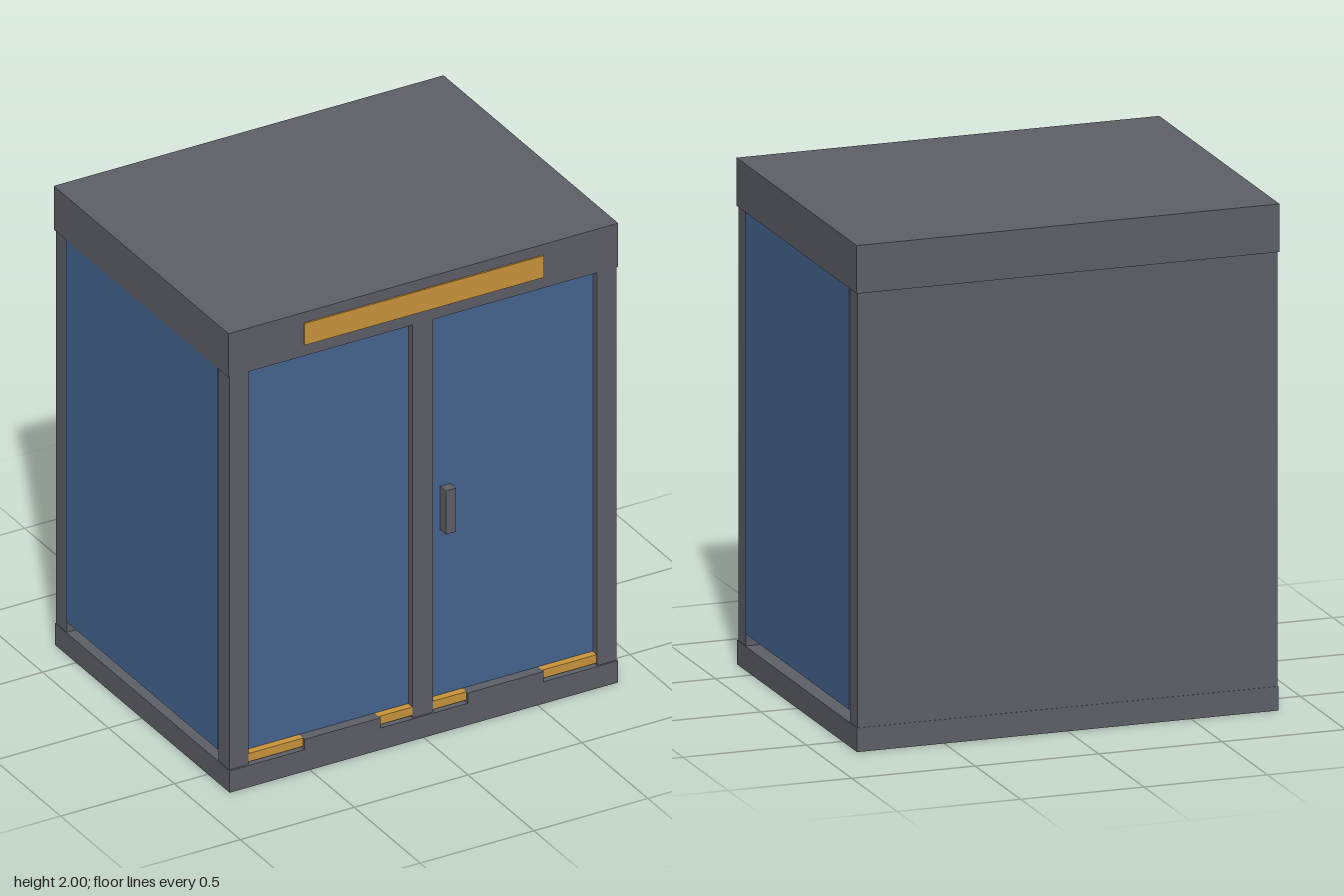
import * as THREE from 'three';

export function createModel() {
  const model = new THREE.Group();
  model.name = 'cabin';
  const material = (name, color) => {
    const m = new THREE.MeshStandardMaterial({ color });
    m.name = name;
    return m;
  };
  const grey = material('frame grey', 0x5d5f67);
  const blue = material('panel blue', 0x44658f);
  const amber = material('amber', 0xc9943a);
  const pale = material('pale grey', 0xc4c8c0);

  // Box given by its limits on each axis
  function box(name, mat, [x0, x1], [y0, y1], [z0, z1]) {
    const mesh = new THREE.Mesh(new THREE.BoxGeometry(x1 - x0, y1 - y0, z1 - z0), mat);
    mesh.position.set((x0 + x1) / 2, (y0 + y1) / 2, (z0 + z1) / 2);
    mesh.name = name;
    model.add(mesh);
    return mesh;
  }
  const mirrored = (side, a, b) => side > 0 ? [a, b] : [-b, -a];

  const baseTop = 0.095, roofBottom = 1.81, panelBottom = 0.145;
  const wallX = 0.85, baseX = 0.853;

  // Hollow plinth, open below: floor and thin skirt
  box('floor', grey, [-baseX, baseX], [baseTop - 0.004, baseTop], [-0.66, 0.665]);
  box('frontSkirt', grey, [-baseX, baseX], [0, baseTop], [0.661, 0.665]);
  box('backSkirt', grey, [-baseX, baseX], [0, baseTop], [-0.66, -0.656]);

  // Roof, back wall, centre post and sign plate
  box('roof', grey, [-0.856, 0.856], [roofBottom, 2], [-0.664, 0.661]);
  box('backWall', grey, [-wallX, wallX], [baseTop, roofBottom], [-0.658, -0.63]);
  box('centrePost', grey, [-0.045, 0.045], [baseTop, roofBottom], [0.575, 0.657]);
  box('signPlate', amber, [-0.525, 0.525], [1.86, 1.955], [0.66, 0.668]);

  for (const side of [-1, 1]) {
    const x = (a, b) => mirrored(side, a, b);
    box('sideSkirt', grey, x(baseX - 0.004, baseX), [0, baseTop], [-0.66, 0.665]);
    box('frontPost', grey, x(0.765, wallX), [baseTop, roofBottom], [0.575, 0.657]);
    box('backPost', grey, x(0.765, wallX), [baseTop, roofBottom], [-0.657, -0.575]);
    box('sidePanel', blue, x(0.835, 0.854), [panelBottom, roofBottom], [-0.575, 0.575]);
    box('frontPanel', blue, x(0.045, 0.765), [panelBottom - 0.003, roofBottom], [0.607, 0.625]);

    // Amber threshold strips with a raised step between them
    box('outerThreshold', amber, x(0.525, 0.765), [0.105, 0.141], [0.62, 0.655]);
    box('innerThreshold', amber, x(0.045, 0.192), [0.105, 0.141], [0.62, 0.655]);
    box('thresholdStep', grey, x(0.192, 0.525), [baseTop, 0.141], [0.62, 0.667]);
  }

  // Door handle
  box('handle', grey, [0.095, 0.14], [0.86, 1.05], [0.622, 0.668]);

  // Interior seat, its base showing through the floor, and a low cabinet
  box('seatBase', pale, [-0.665, -0.145], [baseTop - 0.005, 0.5], [-0.285, -0.05]);
  box('seatBack', pale, [-0.665, -0.145], [baseTop, 0.9], [-0.475, -0.285]);
  box('cabinet', grey, [-0.145, 0.4], [baseTop, 0.5], [-0.475, -0.285]);

  return model;
}
